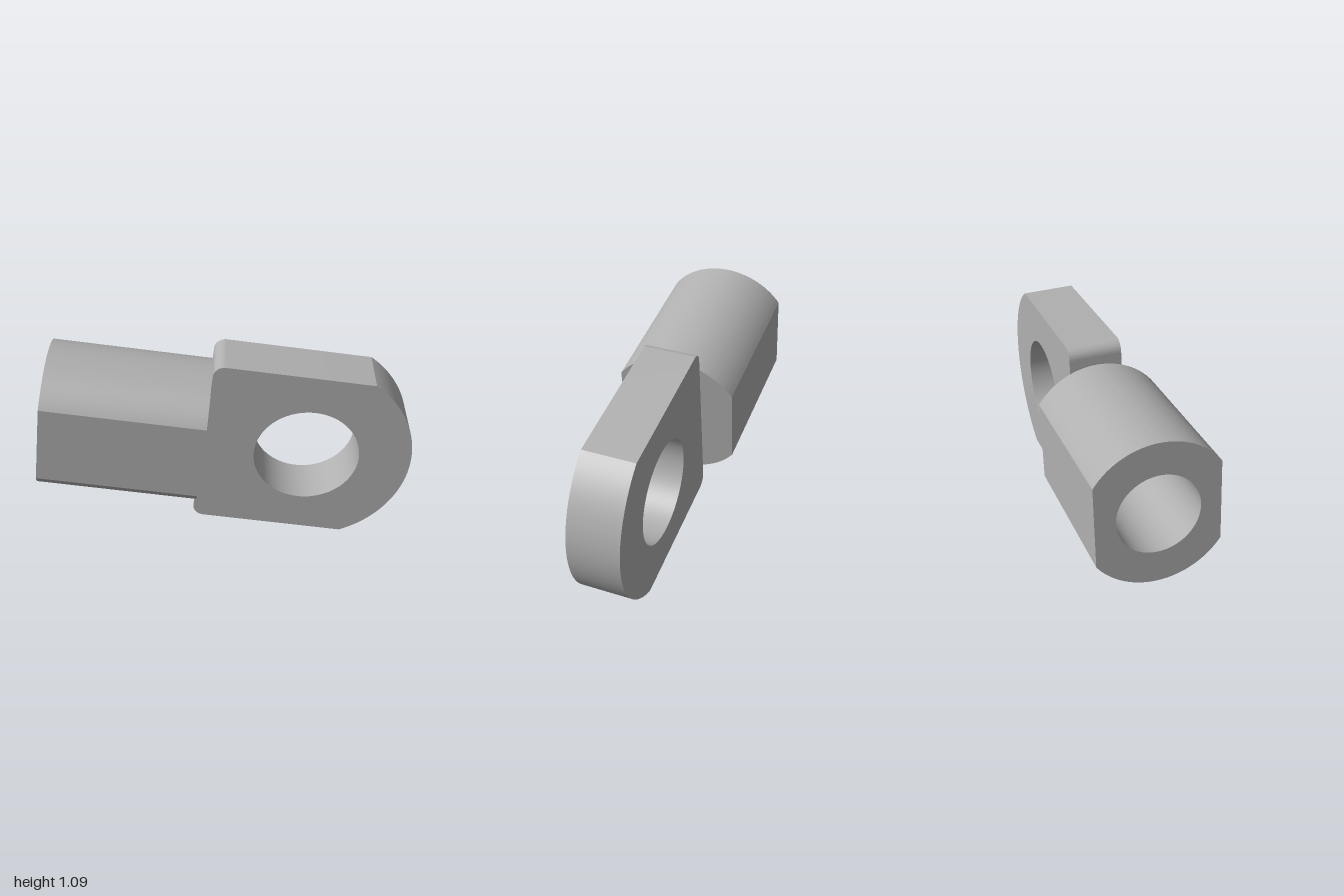
import * as THREE from 'three';
import { toCreasedNormals } from 'three/addons/utils/BufferGeometryUtils.js';

const steel = new THREE.MeshStandardMaterial({ color: 0xb0b0b0 });
steel.name = 'steel grey';

function extrude(shape, depth) {
  const g = new THREE.ExtrudeGeometry(shape, { depth, bevelEnabled: false, curveSegments: 40 });
  return toCreasedNormals(g, 0.4);
}

function roundHole(radius) {
  return new THREE.Path().absarc(0, 0, radius, 0, Math.PI * 2, true);
}

function addMesh(parent, name, geometry) {
  const mesh = new THREE.Mesh(geometry, steel);
  mesh.name = name;
  parent.add(mesh);
  return mesh;
}

export function createModel() {
  const model = new THREE.Group();
  model.name = 'rodEnd';

  // Local frame: origin at the eye centre, barrel axis along x
  const body = new THREE.Group();
  body.name = 'rodEndBody';
  body.rotation.z = THREE.MathUtils.degToRad(-7.6);
  body.position.set(0.44, 0.527, 0);
  model.add(body);

  const joint = -0.556; // plane where the barrel meets the eye plate

  // Eye plate: round nose, flat top and bottom, small rear corner fillets
  const nose = 0.56, half = 0.488, fillet = 0.06, thick = 0.28;
  const a = Math.asin(half / nose);
  const plate = new THREE.Shape();
  plate.absarc(0, 0, nose, -a, a, false);
  plate.absarc(joint + fillet, half - fillet, fillet, Math.PI / 2, Math.PI, false);
  plate.absarc(joint + fillet, -half + fillet, fillet, Math.PI, Math.PI * 1.5, false);
  plate.closePath();
  plate.holes.push(roundHole(0.281));
  addMesh(body, 'eyePlate', extrude(plate, thick)).position.z = -thick / 2;

  // Barrel: round top and bottom, a flat on each side, bored lengthwise
  const radius = 0.383, flat = 0.316, length = 0.847, bore = 0.212;
  const b = Math.acos(flat / radius);
  const section = new THREE.Shape();
  section.absarc(0, 0, radius, b, Math.PI - b, false);
  section.absarc(0, 0, radius, Math.PI + b, Math.PI * 2 - b, false);
  section.closePath();
  section.holes.push(roundHole(bore));
  const barrel = addMesh(body, 'barrel', extrude(section, length).rotateY(Math.PI / 2));
  barrel.position.x = joint - length;

  // Solid end of the blind bore
  const plug = 0.147;
  const bottom = addMesh(body, 'boreBottom',
    new THREE.CylinderGeometry(bore, bore, plug, 80).rotateZ(Math.PI / 2));
  bottom.position.x = joint - plug / 2;

  return model;
}
